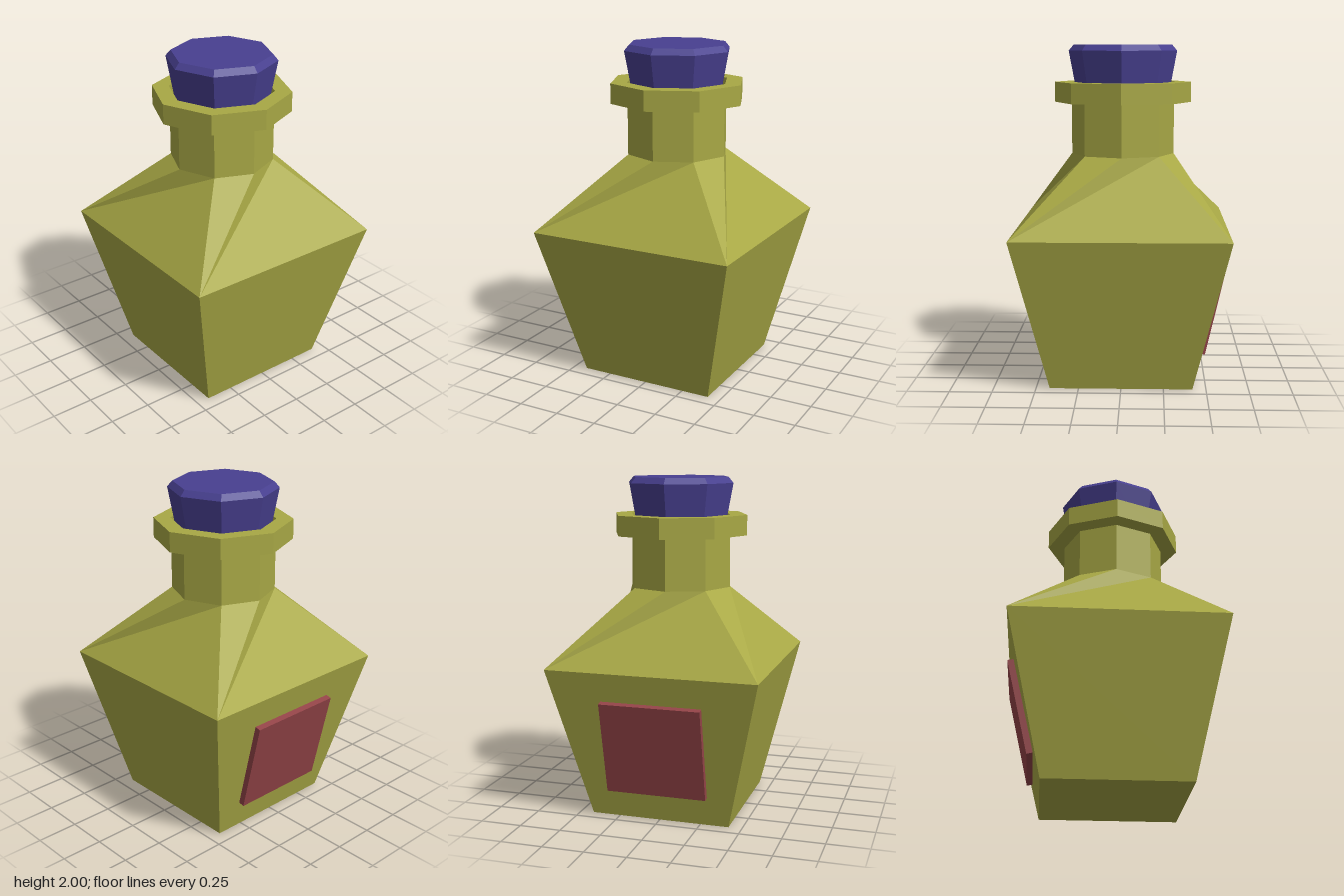
import * as THREE from 'three';

const material = (color, side = THREE.FrontSide) =>
  new THREE.MeshStandardMaterial({ color, side, flatShading: true });

// Faceted solid of revolution from [radius, height] pairs, listed bottom to top
function faceted(name, points, sides, mat) {
  const profile = points.map(([r, y]) => new THREE.Vector2(r, y));
  const mesh = new THREE.Mesh(new THREE.LatheGeometry(profile, sides), mat);
  mesh.name = name;
  return mesh;
}

const BASE = 0.42, WIDE = 0.63, SHOULDER_Y = 0.915;
const NECK = 0.308, NECK_Y = 1.35, LIP_Y = 1.66, RIM_Y = 1.78;

// Square-to-octagon transition: each corner fans out to three neck points
function shoulderGeometry() {
  const corner = (k) => {
    const a = -Math.PI / 4 + (k * Math.PI) / 2;
    return [WIDE * Math.SQRT2 * Math.sin(a), SHOULDER_Y, WIDE * Math.SQRT2 * Math.cos(a)];
  };
  const neck = (i) => {
    const a = -Math.PI / 4 + (i * Math.PI) / 4;
    return [NECK * Math.sin(a), NECK_Y, NECK * Math.cos(a)];
  };
  const triangles = [];
  for (let k = 0; k < 4; k++) {
    const n = 2 * k;
    triangles.push(corner(k), corner(k + 1), neck(n + 2));
    triangles.push(corner(k), neck(n + 1), neck(n));
    triangles.push(corner(k), neck(n + 2), neck(n + 1));
  }
  const geometry = new THREE.BufferGeometry();
  geometry.setAttribute('position', new THREE.Float32BufferAttribute(triangles.flat(), 3));
  geometry.computeVertexNormals();
  return geometry;
}

export function createModel() {
  const model = new THREE.Group();
  model.name = 'bottle';
  const glass = material(0xa8a845);

  // Square body widening upward
  const body = faceted('body',
    [[0, 0], [BASE * Math.SQRT2, 0], [WIDE * Math.SQRT2, SHOULDER_Y]], 4, glass);
  body.rotation.y = Math.PI / 4;

  const shoulder = new THREE.Mesh(shoulderGeometry(), glass);
  shoulder.name = 'shoulder';

  // Neck with a hollow collar around the stopper
  const neck = faceted('neckAndCollar', [
    [NECK, NECK_Y], [NECK, LIP_Y], [0.41, LIP_Y], [0.41, RIM_Y],
    [0.31, RIM_Y], [0.31, LIP_Y], [0, LIP_Y],
  ], 8, glass);

  // Tapered stopper with a chamfered top
  const stopper = faceted('stopper',
    [[0, LIP_Y], [0.268, LIP_Y], [0.325, 1.965], [0.295, 2], [0, 2]], 8, material(0x484090));

  // Plate lying flat on the sloping side wall
  const label = new THREE.Mesh(new THREE.BoxGeometry(0.038, 0.574, 0.6), material(0x944448));
  label.name = 'label';
  label.position.set(-0.543, 0.459, 0);
  label.rotation.z = Math.atan2(WIDE - BASE, SHOULDER_Y);

  model.add(body, shoulder, neck, stopper, label);
  return model;
}
